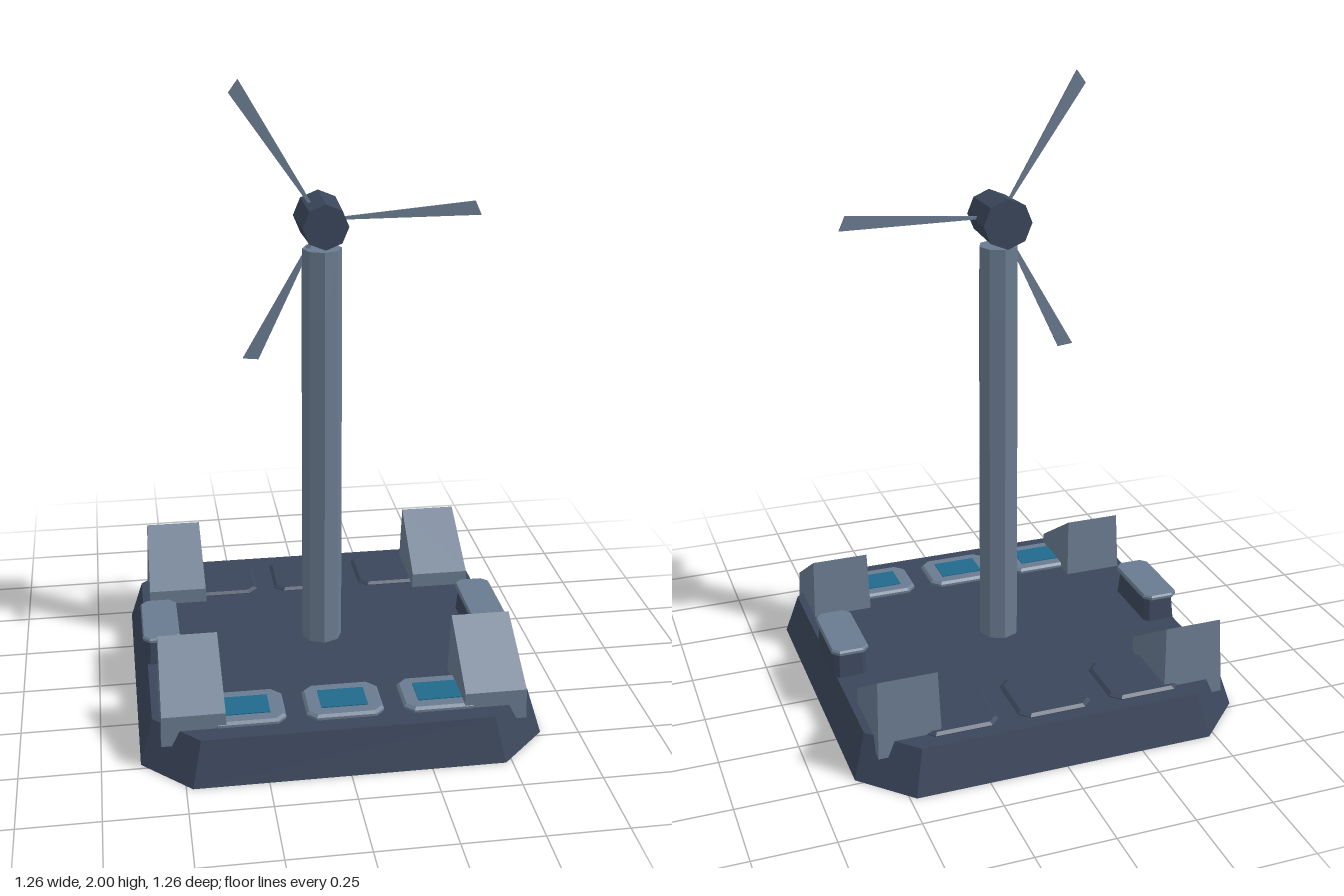
import * as THREE from 'three';

const material = (name, color) =>
  new THREE.MeshStandardMaterial({ name, color, flatShading: true, side: THREE.DoubleSide });

// Ring of eight corners: a rectangle with cut corners, lying flat at height y
function cutRect(hw, hd, cut, y) {
  const a = hw - cut, b = hd - cut;
  return [[hw, b], [hw, -b], [a, -hd], [-a, -hd], [-hw, -b], [-hw, b], [-a, hd], [a, hd]]
    .map(([x, z]) => [x, y, z]);
}

// Skin a stack of rings from bottom to top and close the top
function loft(rings) {
  const pos = [];
  const n = rings[0].length;
  for (let k = 0; k < rings.length - 1; k++) {
    const lo = rings[k], hi = rings[k + 1];
    for (let i = 0; i < n; i++) {
      const j = (i + 1) % n;
      pos.push(...lo[i], ...lo[j], ...hi[j], ...lo[i], ...hi[j], ...hi[i]);
    }
  }
  const top = rings[rings.length - 1];
  for (let i = 1; i < n - 1; i++) pos.push(...top[0], ...top[i], ...top[i + 1]);
  const g = new THREE.BufferGeometry();
  g.setAttribute('position', new THREE.Float32BufferAttribute(pos, 3));
  g.computeVertexNormals();
  return g;
}

export function createModel() {
  const group = new THREE.Group();
  group.name = 'windTurbine';
  const dark = material('darkSlate', 0x3a465b);
  const light = material('lightSlate', 0x6a7b90);
  const teal = material('tealGlass', 0x216a8c);

  const add = (name, geometry, mat, x = 0, y = 0, z = 0) => {
    const mesh = new THREE.Mesh(geometry, mat);
    mesh.name = name;
    mesh.position.set(x, y, z);
    group.add(mesh);
    return mesh;
  };

  // Hollow platform, open underneath
  add('platform', loft([cutRect(0.63, 0.63, 0.15, 0), cutRect(0.59, 0.59, 0.14, 0.14)]), dark);

  // Sloped corner blocks, all facing the front
  const block = loft([
    [[0.1, 0.09, 0.123], [0.1, 0.09, -0.123], [-0.1, 0.09, -0.123], [-0.1, 0.09, 0.123]],
    [[0.097, 0.19, 0.123], [0.093, 0.34, -0.107], [-0.093, 0.34, -0.107], [-0.097, 0.19, 0.123]],
  ]);
  for (const x of [-0.467, 0.467])
    for (const z of [-0.405, 0.407]) add('cornerBlock', block, light, x, 0, z);

  // Side lockers with light lids
  const locker = loft([cutRect(0.055, 0.126, 0.015, 0.13), cutRect(0.05, 0.112, 0.015, 0.226)]);
  const lid = loft([
    cutRect(0.06, 0.134, 0.022, 0.224),
    cutRect(0.06, 0.134, 0.022, 0.232),
    cutRect(0.056, 0.129, 0.02, 0.238),
  ]);
  for (const x of [-0.542, 0.542]) {
    add('sideLocker', locker, dark, x);
    add('lockerLid', lid, light, x);
  }

  // Front panels with glass, and plain hatches at the back
  const frame = loft([cutRect(0.12, 0.092, 0.028, 0.135), cutRect(0.12, 0.092, 0.028, 0.148), cutRect(0.112, 0.084, 0.025, 0.156)]);
  const glass = new THREE.BoxGeometry(0.145, 0.004, 0.1);
  const hatch = loft([cutRect(0.12, 0.113, 0.03, 0.135), cutRect(0.12, 0.113, 0.03, 0.142), cutRect(0.11, 0.103, 0.026, 0.15)]);
  for (const x of [-0.303, 0, 0.303]) {
    add('frontPanel', frame, light, x, 0, 0.44);
    add('panelGlass', glass, teal, x, 0.157, 0.44);
    add('rearHatch', hatch, dark, x, 0, -0.432);
  }

  // Eight-sided tower in two sections, open at the foot
  const lowerHeight = 1.14;
  add('lowerTower', new THREE.CylinderGeometry(0.064, 0.066, lowerHeight, 8, 1, true), light, 0, 0.12 + lowerHeight / 2, 0);
  add('upperTower', new THREE.CylinderGeometry(0.062, 0.064, 0.22, 8), light, 0, 1.37, 0);

  // Generator housing, slightly wider at the back
  const housing = new THREE.CylinderGeometry(0.071, 0.078, 0.175, 8);
  housing.rotateX(Math.PI / 2);
  add('generatorHousing', housing, dark, 0, 1.565, 0);

  // Three flared blades
  const outline = new THREE.Shape([[0.05, 0], [0.5, 0], [0.48, 0.045], [0.05, 0.008]]
    .map(([x, y]) => new THREE.Vector2(x, y)));
  const blade = new THREE.ExtrudeGeometry(outline, { depth: 0.005, bevelEnabled: false });
  blade.translate(0, 0, -0.0025);
  for (let i = 0; i < 3; i++) {
    add('blade', blade, light, 0, 1.567, 0).rotation.z = (i * Math.PI * 2) / 3;
  }

  return group;
}
